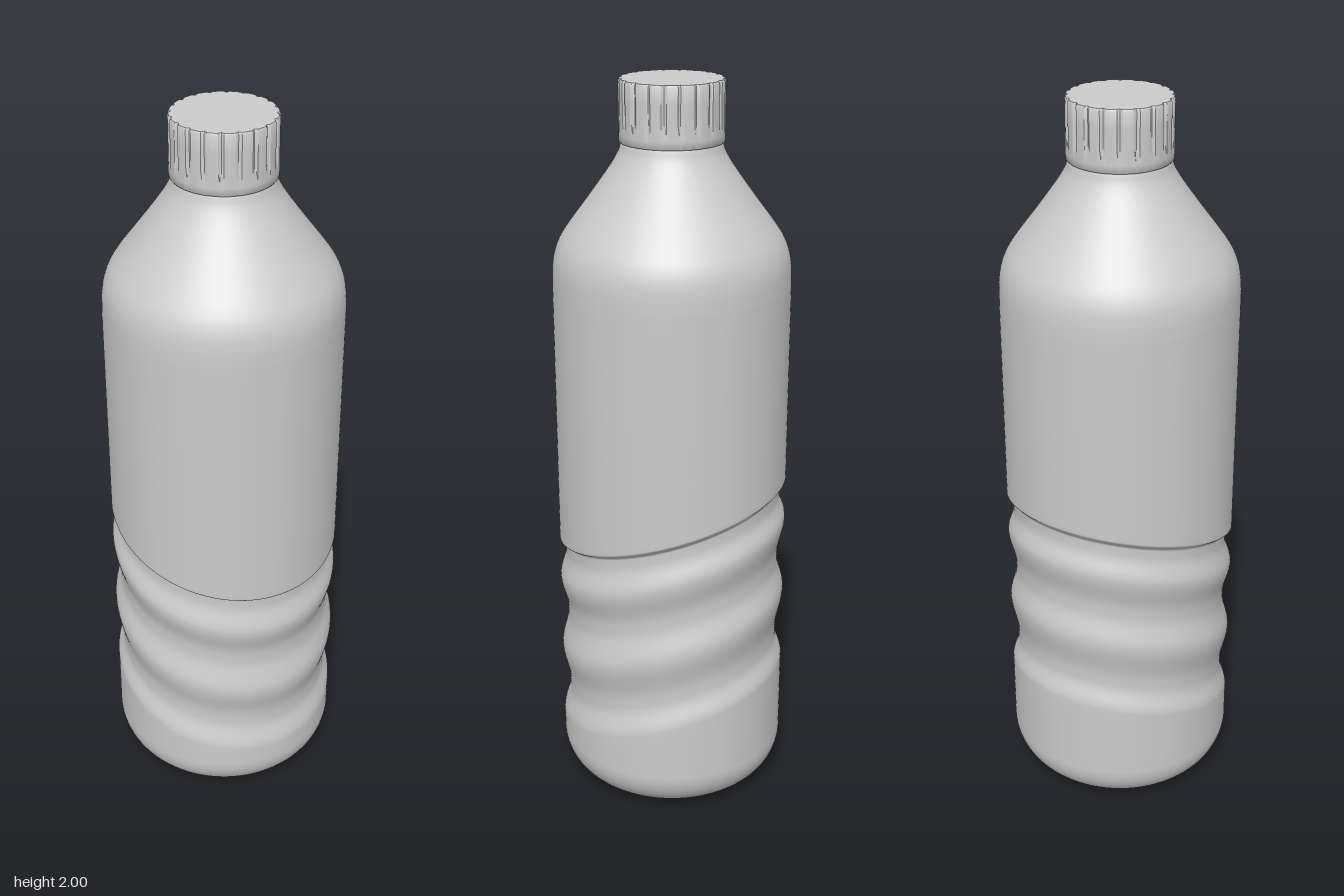
import * as THREE from 'three';
import { mergeVertices, toCreasedNormals } from 'three/addons/utils/BufferGeometryUtils.js';

const material = new THREE.MeshStandardMaterial({ color: 0xcccccc });
const V = (x, y) => new THREE.Vector2(x, y);
const smooth = THREE.MathUtils.smoothstep;
const R = 0.317;

// Bottle profile: rounded base, three grooves, plain wall, shoulder and neck
function bodyProfile() {
  const pts = [V(0, 0.004), V(0.1, 0.004), V(0.19, 0.004)];
  for (let i = 0; i <= 14; i++) {
    const a = (i / 14) * Math.PI / 2;
    pts.push(V(0.2 + (R - 0.2) * Math.sin(a), 0.004 + 0.125 * (1 - Math.cos(a))));
  }
  pts.push(V(R, 0.17), V(R, 0.22));
  const grooves = [
    [0.27, R], [0.35, 0.298], [0.375, 0.298], [0.49, R], [0.585, 0.298],
    [0.61, 0.298], [0.71, R], [0.785, 0.299], [0.81, 0.299], [0.832, R],
  ];
  for (let k = 0; k < grooves.length - 1; k++) {
    const [s0, r0] = grooves[k], [s1, r1] = grooves[k + 1];
    const n = r0 === r1 ? 2 : 8;
    for (let i = 0; i < n; i++) {
      const t = i / n;
      pts.push(V(r0 + (r1 - r0) * smooth(t, 0, 1), s0 + (s1 - s0) * t));
    }
  }
  pts.push(V(R, 0.832), V(R, 0.845), V(R, 0.9), V(R, 1.1), V(R, 1.3), V(R, 1.42));
  const shoulder = new THREE.SplineCurve([
    V(R, 1.47), V(0.314, 1.53), V(0.303, 1.575), V(0.278, 1.62), V(0.215, 1.705),
    V(0.165, 1.775), V(0.141, 1.815), V(0.132, 1.84), V(0.125, 1.86),
  ]);
  return pts.concat(shoulder.getPoints(40));
}

function createBody() {
  let geo = new THREE.LatheGeometry(bodyProfile(), 128);
  const p = geo.attributes.position;
  // Shear the grooved zone so the rings rise towards the back
  for (let i = 0; i < p.count; i++) {
    const y = p.getY(i);
    const tilt = 0.29 * smooth(y, 0.12, 0.27) * (1 - smooth(y, 0.85, 1.42));
    p.setY(i, y - tilt * p.getZ(i));
  }
  geo.deleteAttribute('uv');
  geo.deleteAttribute('normal');
  geo = mergeVertices(geo, 1e-5);
  geo.computeVertexNormals();
  const mesh = new THREE.Mesh(geo, material);
  mesh.name = 'bottleBody';
  return mesh;
}

// Screw cap with narrow vertical notches around its side
function createCap() {
  const r = 0.137, notches = 20, perNotch = 12;
  const profile = [
    V(0.11, 1.841), V(r - 0.002, 1.841), V(r, 1.844), V(r, 1.862), V(r, 1.872), V(r, 1.9),
    V(r, 1.95), V(r, 1.994), V(r - 0.003, 2), V(0.12, 2), V(0, 2),
  ];
  let geo = new THREE.LatheGeometry(profile, notches * perNotch);
  const p = geo.attributes.position;
  for (let i = 0; i < p.count; i++) {
    const x = p.getX(i), y = p.getY(i), z = p.getZ(i);
    const len = Math.hypot(x, z);
    if (len < r - 0.01) continue;
    const turn = Math.atan2(x, z) / (2 * Math.PI) * notches;
    const off = Math.abs(turn - Math.round(turn));
    const depth = 0.006 * (1 - smooth(off, 0.02, 0.2)) * smooth(y, 1.862, 1.9);
    const k = (len - depth) / len;
    p.setX(i, x * k);
    p.setZ(i, z * k);
  }
  geo.deleteAttribute('uv');
  geo.deleteAttribute('normal');
  geo = toCreasedNormals(mergeVertices(geo, 1e-5), 0.6);
  const mesh = new THREE.Mesh(geo, material);
  mesh.name = 'cap';
  return mesh;
}

export function createModel() {
  const group = new THREE.Group();
  group.name = 'bottle';
  group.add(createBody(), createCap());
  // Rest the base exactly on the ground
  group.children[0].position.y = -0.004;
  return group;
}
